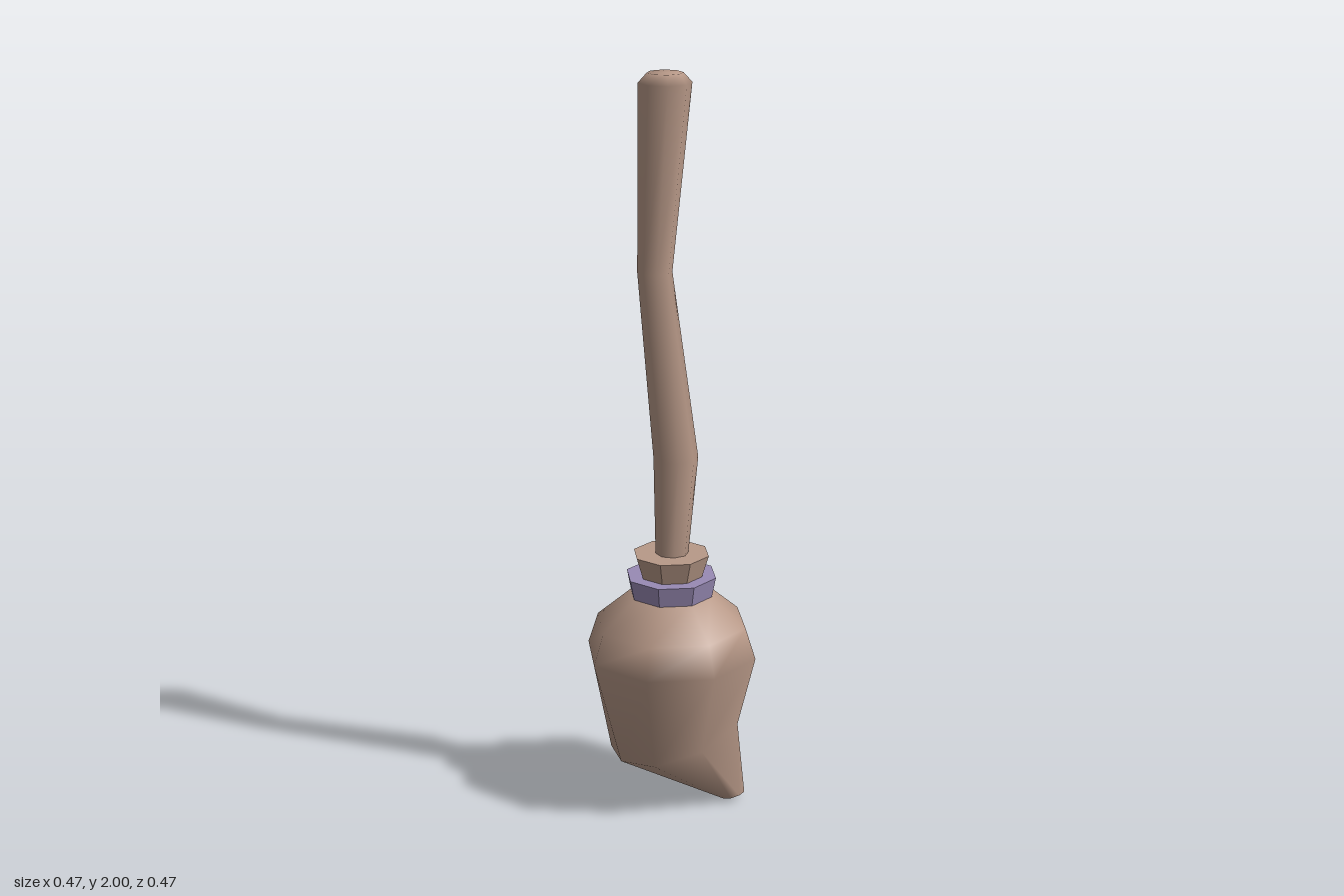
import * as THREE from 'three';

const SIDES = 8;

// Eight-sided ring; spin turns the corners off the axes
function ring(cx, y, cz, rx, rz = rx, spin = 0) {
  return Array.from({ length: SIDES }, (_, j) => {
    const a = (j / SIDES) * Math.PI * 2 + spin;
    return [cx + Math.cos(a) * rx, y, cz + Math.sin(a) * rz];
  });
}

// Skin a list of rings from bottom to top, closed at both ends, smooth normals
function loft(rings) {
  const pos = rings.flat(2);
  const index = [];
  const last = rings.length - 1;
  const mid = (r) => [0, 1, 2].map((k) => r.reduce((s, p) => s + p[k], 0) / SIDES);
  pos.push(...mid(rings[0]), ...mid(rings[last]));
  const bottom = rings.length * SIDES;
  for (let j = 0; j < SIDES; j++) {
    const n = (j + 1) % SIDES;
    for (let i = 0; i < last; i++) {
      const a = i * SIDES + j, b = i * SIDES + n;
      index.push(a, a + SIDES, b, b, a + SIDES, b + SIDES);
    }
    index.push(bottom, j, n, bottom + 1, last * SIDES + n, last * SIDES + j);
  }
  const geo = new THREE.BufferGeometry();
  geo.setAttribute('position', new THREE.Float32BufferAttribute(pos, 3));
  geo.setIndex(index);
  geo.computeVertexNormals();
  return geo;
}

// Faceted eight-sided collar with corners on the axes
function collar(rTop, rBottom, y0, y1) {
  const geo = new THREE.CylinderGeometry(rTop, rBottom, y1 - y0, SIDES).toNonIndexed();
  geo.computeVertexNormals();
  geo.translate(0, (y0 + y1) / 2, 0);
  return geo;
}

export function createModel() {
  const group = new THREE.Group();
  const wood = new THREE.MeshStandardMaterial({ color: 0xb89988 });
  wood.name = 'wood and straw brown';
  const purple = new THREE.MeshStandardMaterial({ color: 0x988ab4 });
  purple.name = 'band purple';

  const add = (name, geo, mat) => {
    const mesh = new THREE.Mesh(geo, mat);
    mesh.name = name;
    group.add(mesh);
  };

  // Crooked handle: [lean, height, half width]; it leans along x and -z alike
  const stations = [
    [0, 0.66, 0.038], [0.01, 0.98, 0.055], [-0.034, 1.49, 0.042],
    [-0.0125, 1.975, 0.064], [-0.0125, 2.0, 0.043],
  ];
  const spin = Math.PI / SIDES;
  add('handle', loft(stations.map(([lean, y, half]) => {
    const r = half / Math.cos(spin);
    return ring(lean, y, -lean, r, r, spin);
  })), wood);

  // Binding collar and coloured band
  add('collar', collar(0.104, 0.075, 0.62, 0.715), wood);
  add('band', collar(0.124, 0.113, 0.6, 0.655), purple);

  // Bristle head: slanted hem drawn to an off-centre tip; hem is [radius, height] per corner
  const hem = [
    [0.187, 0.24], [0.17, 0.2], [0.162, 0.16], [0.155, 0.14],
    [0.172, 0.13], [0.185, 0.15], [0.21, 0.21], [0.205, 0.22],
  ].map(([r, y], j) => {
    const a = (j / SIDES) * Math.PI * 2;
    return [Math.cos(a) * r, y, Math.sin(a) * r];
  });
  const tip = ring(0.168, 0.012, -0.035, 0.031, 0.028);
  tip.forEach((p) => { p[1] += (p[0] - 0.168) * 0.35; });
  add('bristles', loft([
    tip, hem,
    ring(0, 0.435, 0, 0.235), ring(0, 0.52, 0, 0.207), ring(0, 0.605, 0, 0.108),
  ]), wood);

  return group;
}
